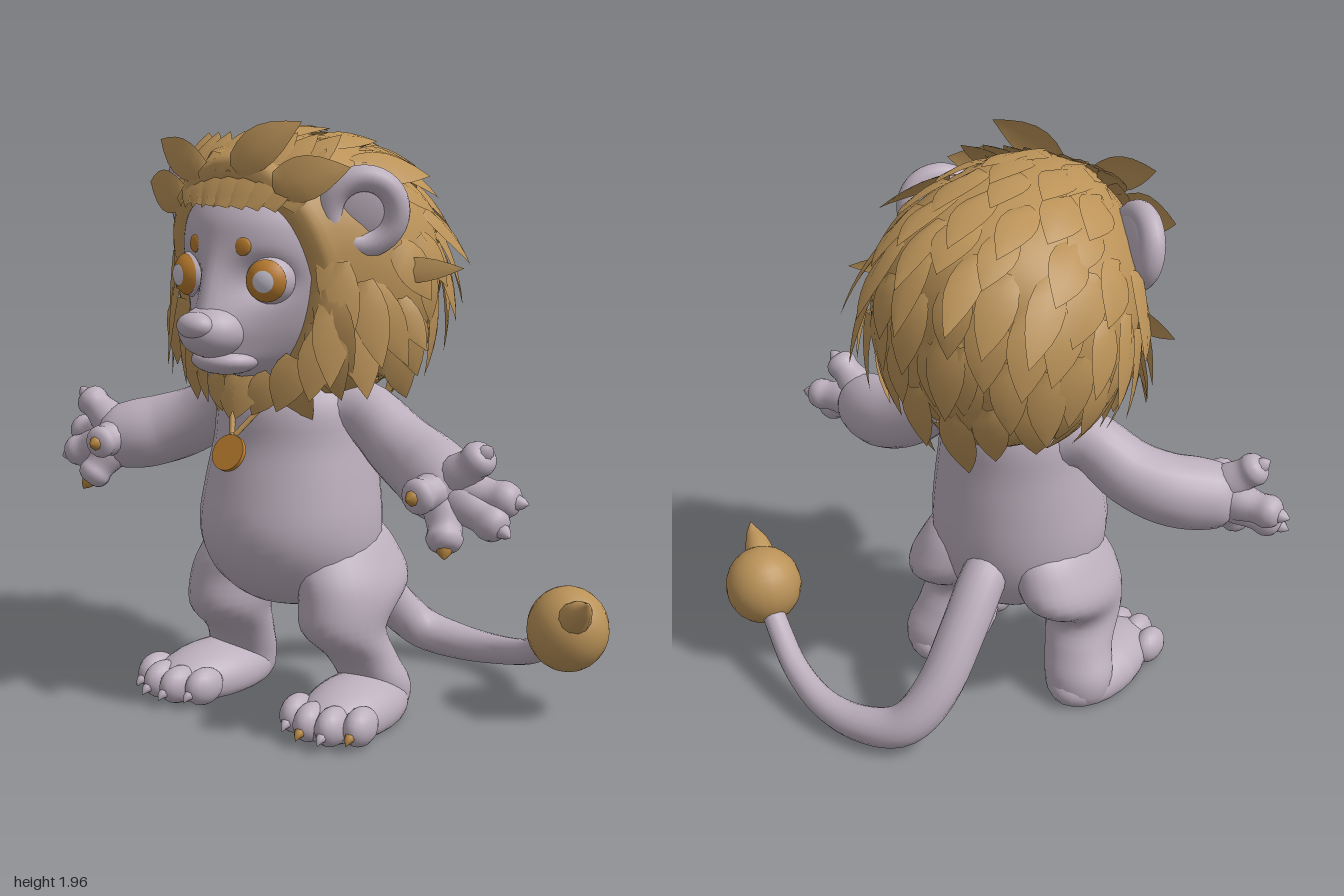
import * as THREE from 'three';
import { mergeGeometries, mergeVertices } from 'three/addons/utils/BufferGeometryUtils.js';

const V = (x, y, z) => new THREE.Vector3(x, y, z);
const mat = (name, color, side = THREE.FrontSide) => {
  const m = new THREE.MeshStandardMaterial({ color, side });
  m.name = name;
  return m;
};

// Smooth interpolation through rows of numbers, t in 0..1
function spline(rows) {
  const n = rows.length - 1;
  return t => {
    const i = Math.min(n - 1, Math.floor(t * n)), f = t * n - i;
    const p = k => rows[Math.max(0, Math.min(n, k))];
    return rows[0].map((_, c) => {
      const a = p(i - 1)[c], b = p(i)[c], d = p(i + 1)[c], e = p(i + 2)[c];
      const m0 = (d - a) / 2, m1 = (e - b) / 2;
      return b + m0 * f + (3 * (d - b) - 2 * m0 - m1) * f * f + (2 * (b - d) + m0 + m1) * f ** 3;
    });
  };
}

// Grid surface from a rule f(u, v)
function surface(n, m, f) {
  const pos = [], idx = [];
  for (let i = 0; i <= n; i++)
    for (let j = 0; j <= m; j++) pos.push(...f(i / n, j / m).toArray());
  for (let i = 0; i < n; i++)
    for (let j = 0; j < m; j++) {
      const a = i * (m + 1) + j, b = a + m + 1;
      idx.push(a, b, a + 1, b, b + 1, a + 1);
    }
  let g = new THREE.BufferGeometry();
  g.setAttribute('position', new THREE.Float32BufferAttribute(pos, 3));
  g.setIndex(idx);
  g = mergeVertices(g, 1e-4);
  g.computeVertexNormals();
  return g;
}

// Stack of horizontal ellipses: rows of [y, x, z, rx, rz]
function stack(rows, n = 32, m = 28) {
  const s = spline(rows);
  return surface(n, m, (u, v) => {
    const [y, x, z, rx, rz] = s(u), a = v * Math.PI * 2;
    return V(x + Math.max(0, rx) * Math.cos(a), y, z + Math.max(0, rz) * Math.sin(a));
  });
}

// Tube of changing radius: rows of [x, y, z, r]
function tube(rows, n = 24, m = 16) {
  const s = spline(rows);
  return surface(n, m, (u, v) => {
    const [x, y, z, r] = s(u), p0 = s(Math.max(0, u - 0.01)), p1 = s(Math.min(1, u + 0.01));
    const T = V(p1[0] - p0[0], p1[1] - p0[1], p1[2] - p0[2]).normalize();
    const N = V(0, 1, 0).cross(T).normalize(), B = T.clone().cross(N), a = v * Math.PI * 2;
    return V(x, y, z).addScaledVector(N, Math.max(0, r) * Math.cos(a)).addScaledVector(B, -Math.max(0, r) * Math.sin(a));
  });
}

// Pointed, ridged lock of hair set on a base point
function lock(base, dir, normal, L, W, lift, sag) {
  const d = dir.clone().normalize();
  const side = d.clone().cross(normal).normalize(), nz = side.clone().cross(d);
  return surface(6, 2, (u, v) => V((1 - 2 * v) * W * Math.sin(Math.PI * (0.2 + 0.8 * u)), u * L,
    lift * L * u - sag * u * u + (1 - Math.abs(2 * v - 1)) * 0.35 * W * (1 - u)))
    .applyMatrix4(new THREE.Matrix4().makeBasis(side, d, nz).setPosition(base));
}

// Relief of the face: snout, nose bridge, chin and eye sockets
const bump = (x, y, sx, sy) => Math.exp(-((x / sx) ** 2) - (y / sy) ** 2);
const relief = (x, y) => 0.09 * bump(x, y - 1.32, 0.11, 0.1) + 0.04 * bump(x, y - 1.45, 0.058, 0.1)
  + 0.05 * bump(x, y - 1.22, 0.11, 0.05) - 0.06 * bump(Math.abs(x) - 0.147, y - 1.485, 0.07, 0.06);

export function createModel() {
  const skin = mat('skin', 0xbcafbd), mane = mat('mane', 0xba9258, THREE.DoubleSide);
  const amber = mat('amber', 0xba7c2e), eyeWhite = mat('eyeWhite', 0xc9c4d2), claw = mat('goldClaw', 0xb4853f);
  const model = new THREE.Group(), body = new THREE.Group();
  body.name = 'body';
  body.position.x = -0.012;
  model.add(body);
  const add = (name, geo, m, parent = body) => {
    const o = new THREE.Mesh(geo, m);
    o.name = name;
    parent.add(o);
    return o;
  };
  const ball = (name, m, p, r, parent = body, seg = 24) => {
    const o = add(name, new THREE.SphereGeometry(1, seg, Math.round(seg * 0.7)), m, parent);
    o.position.set(...p);
    o.scale.set(...r);
    return o;
  };
  let seed = 7;
  const rnd = () => (seed = (seed * 16807) % 2147483647) / 2147483647;

  // Torso
  add('torso', stack([[0.35, 0, 0.06, 0, 0], [0.38, 0, 0.06, 0.15, 0.16], [0.45, 0, 0.08, 0.25, 0.24], [0.55, 0, 0.095, 0.3, 0.29],
    [0.66, 0, 0.1, 0.31, 0.305], [0.8, 0, 0.09, 0.295, 0.285], [0.93, 0, 0.08, 0.275, 0.26], [1.05, 0, 0.078, 0.26, 0.25],
    [1.15, 0, 0.07, 0.21, 0.21], [1.25, 0, 0.06, 0.15, 0.15]]), skin);

  for (const s of [1, -1]) {
    const side = s > 0 ? 'left' : 'right';
    // Leg
    add(side + 'Leg', stack([[0.01, s * 0.285, 0, 0, 0], [0.02, s * 0.285, 0, 0.1, 0.085], [0.11, s * 0.285, 0.01, 0.125, 0.105],
      [0.21, s * 0.26, 0.06, 0.122, 0.115], [0.32, s * 0.24, 0.13, 0.135, 0.16], [0.44, s * 0.23, 0.06, 0.152, 0.235],
      [0.54, s * 0.19, 0.05, 0.15, 0.23], [0.64, s * 0.15, 0.05, 0.115, 0.17], [0.7, s * 0.13, 0.05, 0, 0]]), skin);
    // Foot with flat sole, toes and claws
    const foot = new THREE.Group();
    foot.name = side + 'Foot';
    foot.position.set(s * 0.285, 0, 0);
    foot.rotation.y = s * 0.1;
    body.add(foot);
    const sole = new THREE.SphereGeometry(1, 24, 18).scale(0.15, 0.11, 0.26).translate(0, 0.055, 0.15);
    for (let i = 0, p = sole.attributes.position; i < p.count; i++) p.setY(i, Math.max(0.008, p.getY(i)));
    sole.computeVertexNormals();
    add('sole', sole, skin, foot);
    [-0.118, -0.04, 0.04, 0.118].forEach((x, i) => {
      const z = 0.37 - 3.6 * x * x;
      ball('toe', skin, [x, 0.07, z], [0.05, 0.064, 0.078], foot, 16);
      add('toeClaw', tube([[x, 0.06, z + 0.055, 0.02], [x, 0.052, z + 0.08, 0.014], [x, 0.035, z + 0.096, 0]], 6, 8), s > 0 && i % 2 ? claw : skin, foot);
    });

    // Arm and palm
    add(side + 'Arm', tube([[s * 0.12, 1.02, 0.06, 0], [s * 0.16, 1.02, 0.06, 0.12], [s * 0.28, 1.03, 0.06, 0.1], [s * 0.42, 0.94, 0.075, 0.112],
      [s * 0.54, 0.89, 0.11, 0.122], [s * 0.64, 0.865, 0.17, 0.122], [s * 0.72, 0.855, 0.215, 0.095], [s * 0.77, 0.85, 0.235, 0]], 30, 20), skin);
    // Digits with pads and claws
    [[0.85, 1.02, 0.23], [0.95, 0.85, 0.18], [0.93, 0.76, 0.25], [0.75, 0.68, 0.33], [0.65, 0.86, 0.385]].forEach((tip, i) => {
      const a = V(s * 0.67, 0.865, 0.2), b = V(s * tip[0], tip[1], tip[2]);
      const at = (t, r) => [...a.clone().lerp(b, t).toArray(), r];
      add(side + 'Digit', tube([at(0.05, 0.07), at(0.35, 0.066), at(0.58, 0.053), at(0.73, 0.057), at(0.85, 0.04), at(0.9, 0)], 18, 14), skin);
      add(side + 'Claw', tube([at(0.84, 0.028), at(0.93, 0.018), at(1, 0)], 6, 8), i > 2 ? claw : skin);
    });

    // Ear: dish with a thick rounded rim
    const ear = new THREE.Group();
    ear.name = side + 'Ear';
    ear.position.set(s * 0.358, 1.69, 0.2);
    ear.rotation.set(0.15, s * 0.72, s * -0.2, 'YXZ');
    body.add(ear);
    add('earRim', new THREE.TorusGeometry(0.104, 0.042, 14, 32), skin, ear);
    ball('earDish', skin, [0, 0, -0.02], [0.118, 0.118, 0.035], ear);

    // Eye and brow spot
    const eye = new THREE.Group();
    eye.name = side + 'Eye';
    eye.position.set(s * 0.147, 1.485, 0.39);
    eye.rotation.y = s * 0.33;
    body.add(eye);
    const cap = (r, angle) => new THREE.SphereGeometry(r, 24, 8, 0, Math.PI * 2, 0, angle).rotateX(Math.PI / 2);
    ball('eyeball', skin, [0, 0, 0], [0.078, 0.078, 0.078], eye);
    add('iris', cap(0.081, 0.95), amber, eye);
    add('pupil', cap(0.083, 0.42), eyeWhite, eye);
    ball('browSpot', amber, [s * 0.095, 1.588, 0.463], [0.028, 0.028, 0.009], body, 16).rotation.set(-0.05, s * 0.28, 0);
  }

  // Head with sculpted face and full forehead
  const head = stack([[1.14, 0, 0.14, 0, 0], [1.16, 0, 0.15, 0.1, 0.18], [1.22, 0, 0.13, 0.19, 0.29], [1.3, 0, 0.12, 0.255, 0.335],
    [1.4, 0, 0.12, 0.295, 0.352], [1.5, 0, 0.12, 0.312, 0.365], [1.6, 0, 0.12, 0.308, 0.363], [1.68, 0, 0.12, 0.285, 0.345],
    [1.75, 0, 0.12, 0.23, 0.29], [1.8, 0, 0.12, 0.14, 0.18], [1.82, 0, 0.12, 0, 0]], 64, 96);
  for (let i = 0, p = head.attributes.position; i < p.count; i++)
    if (p.getZ(i) > 0.2) p.setZ(i, p.getZ(i) + relief(p.getX(i), p.getY(i)));
  head.computeVertexNormals();
  add('head', head, skin);
  ball('muzzle', skin, [0, 1.325, 0.49], [0.105, 0.085, 0.12]);
  ball('nose', skin, [0, 1.35, 0.578], [0.064, 0.042, 0.052]);
  ball('jaw', skin, [0, 1.23, 0.435], [0.112, 0.048, 0.105]);

  // Mane core, swept from the hairline to the back: [z, rx, ry]
  const section = spline([[0.3, 0, 0], [0.325, 0.27, 0.31], [0.25, 0.345, 0.39], [0.08, 0.425, 0.435], [-0.1, 0.43, 0.42],
    [-0.26, 0.35, 0.35], [-0.36, 0.2, 0.23], [-0.4, 0, 0]]);
  const hull = (u, v) => {
    const [z, rx, ry] = section(u), a = v * Math.PI * 2, y = Math.max(0, ry) * Math.sin(a);
    return V(Math.max(0, rx) * Math.cos(a), 1.49 + y, z + 0.4 * Math.max(0, y) * (z + 0.4));
  };
  add('maneCore', surface(28, 32, hull), mane);

  // Overlapping locks in rows, sweeping back over the top and down the sides
  const locks = [];
  for (let k = 0; k < 10; k++) {
    const u = 0.17 + 0.78 * k / 9, n = Math.max(6, Math.round(section(u)[1] * 44));
    for (let j = 0; j < n; j++) {
      const v = (j + (k % 2) / 2 + 0.4 * (rnd() - 0.5)) / n, p = hull(u, v);
      const normal = hull(u + 0.01, v).sub(hull(u - 0.01, v)).cross(hull(u, v + 0.01).sub(hull(u, v - 0.01))).normalize();
      if (V(Math.abs(p.x), p.y, p.z).distanceTo(V(0.32, 1.7, 0.25)) < 0.17) continue;
      const up = Math.max(0, normal.y), fringe = p.z > 0.2 && p.y > 1.55;
      const flow = fringe ? V(Math.sign(p.x) * 0.3, 0.1, -1) : V(normal.x * 0.5, -1 + 0.9 * up, -0.35 - 0.9 * up);
      flow.addScaledVector(normal, -flow.dot(normal));
      const L = (0.21 + 0.09 * rnd()) * (p.y < 1.25 && p.z < 0.1 ? 0.65 : 1);
      locks.push(lock(p.addScaledVector(normal, -0.008), flow, normal, L, 0.055 + 0.02 * rnd(), fringe ? 0.1 : 0.14 + 0.18 * rnd(), 0.06));
    }
  }
  // Forehead tuft
  for (let i = -4; i <= 4; i++) {
    const x = i * 0.05;
    locks.push(lock(V(x, 1.7, 0.452 - 1.8 * x * x), V(x * 1.4, 0.8, -0.42), V(x, 0.5, 1), 0.19 + 0.04 * rnd(), 0.055, 0.12, 0.05));
    locks.push(lock(V(x, 1.8, 0.405 - 1.8 * x * x), V(x * 1.6, 0.6, -0.6), V(x, 0.8, 0.8), 0.2, 0.055, 0.12, 0.04));
  }
  // Cheek and beard locks: [x, y, z, dx, dy, dz, length, width]
  for (const s of [1, -1])
    for (const [x, y, z, dx, dy, dz, L, W] of [[0.3, 1.6, 0.3, 0.05, -1, 0, 0.25, 0.045], [0.325, 1.54, 0.28, 0.1, -1, 0, 0.28, 0.055],
      [0.31, 1.42, 0.3, 0.05, -1, 0.1, 0.27, 0.06], [0.37, 1.48, 0.22, 0.2, -1, -0.1, 0.28, 0.06], [0.36, 1.35, 0.23, 0.15, -1, 0, 0.24, 0.06],
      [0.28, 1.32, 0.31, -0.15, -1, 0.1, 0.22, 0.06], [0.2, 1.24, 0.33, -0.35, -1, 0.15, 0.19, 0.06], [0.12, 1.18, 0.35, -0.45, -1, 0.25, 0.15, 0.055],
      [0.04, 1.17, 0.355, -0.2, -1, 0.4, 0.15, 0.05], [0.37, 1.5, 0.1, 1, 0.05, -0.6, 0.25, 0.04], [0.4, 1.42, 0.08, 0.5, -1, -0.3, 0.2, 0.045]])
      locks.push(lock(V(s * x, y, z), V(s * dx, dy, dz), V(s * x * 2, 0.1, 0.6), L, W, 0.12, 0.02));
  add('maneLocks', mergeGeometries(locks), mane);

  // Pendant on a cord
  const disc = add('pendant', new THREE.CylinderGeometry(0.06, 0.06, 0.016, 28), amber);
  disc.position.set(0, 0.925, 0.425);
  disc.rotation.x = 1.1;
  for (const s of [1, -1])
    add('cord', tube([[s * 0.1, 1.12, 0.29, 0.009], [s * 0.05, 1.05, 0.345, 0.009], [s * 0.006, 0.98, 0.4, 0.009]], 10, 8), mane);

  // Tail with a round tuft
  add('tail', tube([[-0.02, 0.6, -0.08, 0.07], [-0.02, 0.54, -0.19, 0.08], [-0.01, 0.4, -0.32, 0.08], [0.02, 0.23, -0.45, 0.078],
    [0.1, 0.11, -0.54, 0.075], [0.25, 0.075, -0.57, 0.064], [0.42, 0.085, -0.55, 0.052], [0.58, 0.13, -0.48, 0.045],
    [0.7, 0.2, -0.4, 0.042], [0.8, 0.29, -0.33, 0.04]], 48, 16), skin, model);
  ball('tailTuft', mane, [0.825, 0.31, -0.31], [0.137, 0.143, 0.137], model, 20);
  add('tailTip', tube([[0.87, 0.36, -0.25, 0.06], [0.91, 0.4, -0.215, 0.047], [0.945, 0.43, -0.19, 0.026], [0.968, 0.46, -0.17, 0]], 10, 12), mane, model);

  return model;
}
